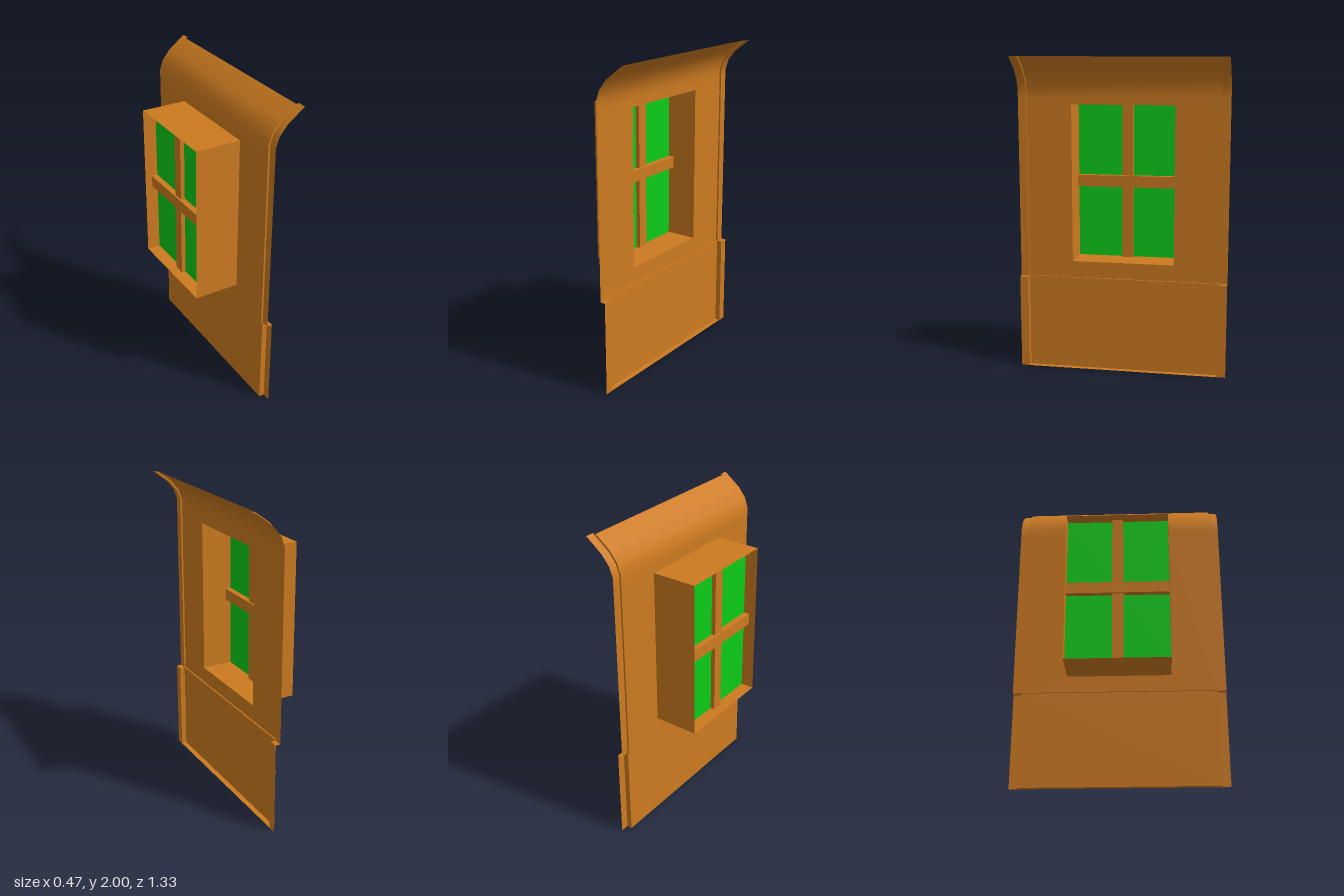
import * as THREE from 'three';

const wallMat = new THREE.MeshStandardMaterial({ color: 0xcc7a20, side: THREE.DoubleSide });
const glassMat = new THREE.MeshStandardMaterial({ color: 0x0dcc19, side: THREE.DoubleSide });

const EDGE = 0.666, INNER = 0.613;             // outer edge and inner panel half widths (z)
const WIN = { z: 0.326, y0: 0.705, y1: 1.705 }; // window opening
const X = { panel: 0.048, rib: 0.059, lower: 0.057, lowerRib: 0.091, back: -0.24, glass: -0.155 };

// Smooth sheet spanned between two rows of 3D points
function sheet(a, b) {
  const pos = [], idx = [];
  a.forEach((p, i) => {
    pos.push(...p, ...b[i]);
    if (i) {
      const k = 2 * i;
      idx.push(k - 2, k - 1, k + 1, k - 2, k + 1, k);
    }
  });
  const g = new THREE.BufferGeometry();
  g.setAttribute('position', new THREE.Float32BufferAttribute(pos, 3));
  g.setIndex(idx);
  g.computeVertexNormals();
  return g;
}
const at = (profile, z) => profile.map(([x, y]) => [x, y, z]);

export function createModel() {
  const model = new THREE.Group();
  const add = (name, geo, mat = wallMat, parent = model) => {
    const m = new THREE.Mesh(geo, mat);
    m.name = name;
    parent.add(m);
    return m;
  };
  const span = (name, profile, z0, z1) => add(name, sheet(at(profile, z0), at(profile, z1)));

  // Upper wall with its window opening
  const split = 1.74;
  const shape = new THREE.Shape([[-INNER, 0.6], [INNER, 0.6], [INNER, split], [-INNER, split]]
    .map(p => new THREE.Vector2(...p)));
  shape.holes.push(new THREE.Path([[-WIN.z, WIN.y0], [-WIN.z, WIN.y1], [WIN.z, WIN.y1], [WIN.z, WIN.y0]]
    .map(p => new THREE.Vector2(...p))));
  const wall = add('upperWall', new THREE.ShapeGeometry(shape));
  wall.rotation.y = Math.PI / 2;
  wall.position.x = X.panel;

  // Flared top of the wall, and the matching profile of the raised edge strips
  const flare = [[X.panel, split], [X.panel, 1.8], [0.071, 1.867], [0.121, 1.93], [0.215, 2]];
  const ribFlare = [[X.rib, split], [X.rib, 1.797], [0.081, 1.86], [0.13, 1.92], [0.235, 2]];
  span('flaredTop', flare, INNER, -INNER);

  // Lower wall, its ledge and its bottom flange
  const lower = [[X.lower, 0], [X.lower, 0.6]];
  const lowerRib = [[X.lowerRib, 0], [X.lowerRib, 0.6]];
  span('lowerWall', lower, INNER, -INNER);
  span('wallLedge', [[X.lower, 0.6], [X.panel, 0.6]], INNER, -INNER);
  span('bottomFlange', [[X.lowerRib, 0], [X.lower, 0]], INNER, -INNER);

  // Raised strips along both edges, with the steps leading up to them
  const main = [[X.panel, 0.6], ...flare], rib = [[X.rib, 0.6], ...ribFlare];
  for (const s of [1, -1]) {
    const [za, zb] = s > 0 ? [EDGE, INNER] : [-INNER, -EDGE];
    span('upperEdgeStrip', rib, za, zb);
    span('lowerEdgeStrip', lowerRib, za, zb);
    span('edgeStripLedge', [[X.lowerRib, 0.6], [X.rib, 0.6]], za, zb);
    for (const [name, p, q] of [['upperEdgeStep', main, rib], ['lowerEdgeStep', lower, lowerRib]]) {
      const [a, b] = s > 0 ? [q, p] : [p, q];
      add(name, sheet(at(a, s * INNER), at(b, s * INNER)));
    }
  }

  // Window: thin box walls, glass and crossed bars
  const win = new THREE.Group();
  win.name = 'window';
  model.add(win);
  const depth = X.panel - X.back, midX = (X.panel + X.back) / 2;
  const midY = (WIN.y0 + WIN.y1) / 2, height = WIN.y1 - WIN.y0;
  for (const s of [1, -1]) {
    const side = add('windowBoxSide', new THREE.PlaneGeometry(depth, height), wallMat, win);
    side.position.set(midX, midY, s * WIN.z);
    if (s < 0) side.rotation.y = Math.PI;
    const cap = add(s > 0 ? 'windowBoxTop' : 'windowBoxBottom',
      new THREE.PlaneGeometry(depth, 2 * WIN.z), wallMat, win);
    cap.rotation.x = -s * Math.PI / 2;
    cap.position.set(midX, midY + s * height / 2, 0);
  }
  const glass = add('windowGlass', new THREE.PlaneGeometry(2 * WIN.z, height), glassMat, win);
  glass.rotation.y = Math.PI / 2;
  glass.position.set(X.glass, midY, 0);
  add('verticalBar', new THREE.BoxGeometry(0.054, height, 0.07), wallMat, win)
    .position.set(X.glass, midY, 0);
  add('crossBar', new THREE.BoxGeometry(0.077, 0.074, 2 * WIN.z), wallMat, win)
    .position.set(X.glass, midY, 0);

  return model;
}
